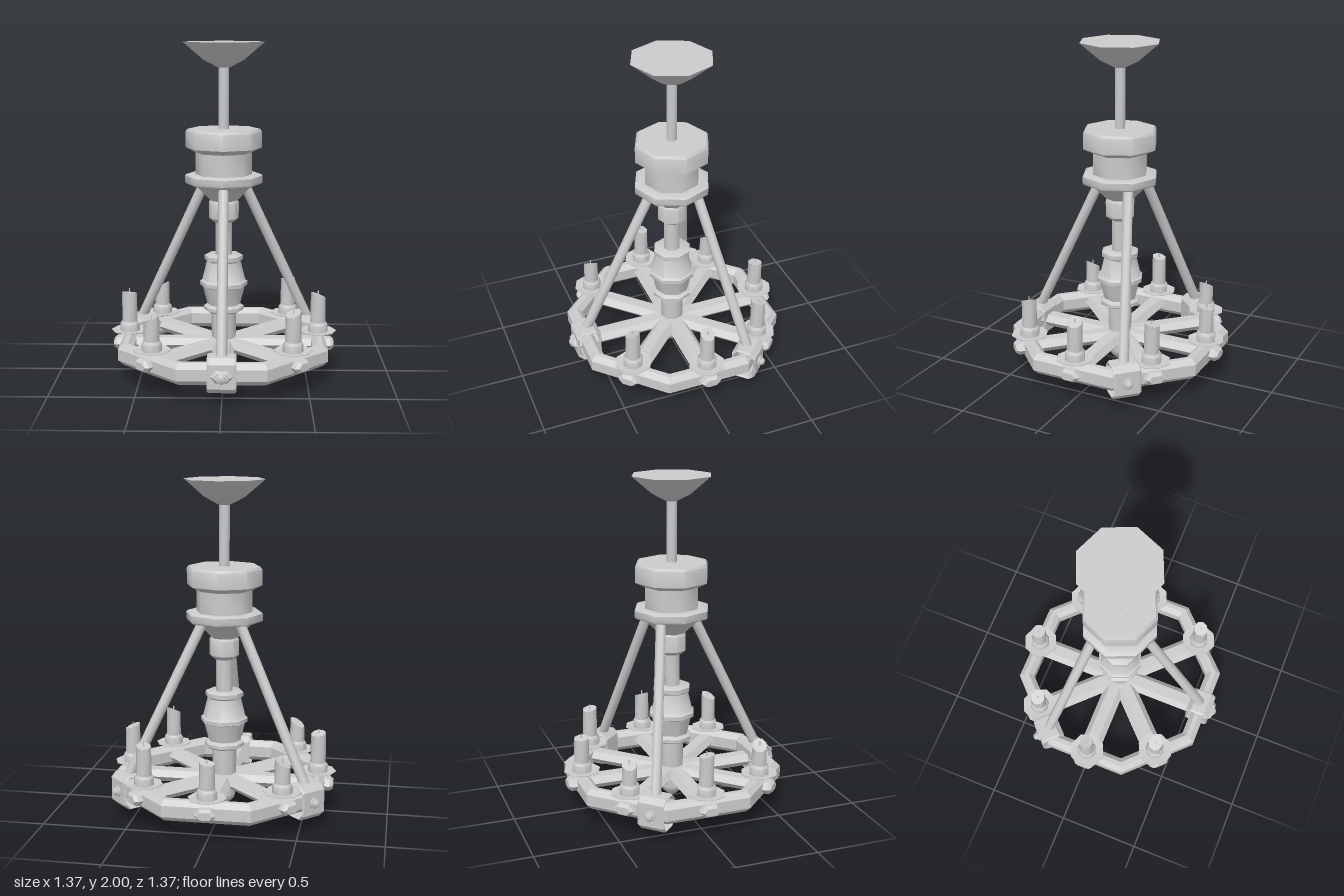
import * as THREE from 'three';
import { toCreasedNormals } from 'three/addons/utils/BufferGeometryUtils.js';

const smooth = new THREE.MeshStandardMaterial({ color: 0xcccccc });
const flat = new THREE.MeshStandardMaterial({ color: 0xcccccc, flatShading: true });

function add(parent, name, geometry, material = flat) {
  const mesh = new THREE.Mesh(geometry, material);
  mesh.name = name;
  parent.add(mesh);
  return mesh;
}

// Eight-sided turned part; profile runs from bottom to top
function turned(parent, name, profile, sides = 8) {
  const lathe = new THREE.LatheGeometry(profile.map(([r, y]) => new THREE.Vector2(r, y)), sides);
  return add(parent, name, toCreasedNormals(lathe, 0.82), smooth);
}

function shapeOf(points) {
  return new THREE.Shape(points.map(([x, y]) => new THREE.Vector2(x, y)));
}

// Rectangle with cut corners
function octagon(w, h, c) {
  return [[w, c - h], [w, h - c], [w - c, h], [c - w, h], [-w, h - c], [-w, c - h], [c - w, -h], [w - c, -h]];
}

// Round bar between two points
function bar(parent, name, from, to, radius) {
  const a = new THREE.Vector3(...from), b = new THREE.Vector3(...to);
  const dir = b.clone().sub(a);
  const geo = new THREE.CylinderGeometry(radius, radius, dir.length(), 8);
  const mesh = add(parent, name, toCreasedNormals(geo, 0.82), smooth);
  mesh.position.copy(a).add(b).multiplyScalar(0.5);
  mesh.quaternion.setFromUnitVectors(new THREE.Vector3(0, 1, 0), dir.normalize());
}

// Candle with pan, cup, slanted top and wick
function makeCandle(height, slantX, slantZ) {
  const g = new THREE.Group();
  g.name = 'candleHolder';
  turned(g, 'dripPan', [[0, 0.23], [0.05, 0.235], [0.112, 0.254], [0.112, 0.258], [0.05, 0.25], [0, 0.25]]);
  turned(g, 'candleCup', [[0.06, 0.24], [0.06, 0.295], [0.05, 0.31], [0, 0.31]]);
  const body = new THREE.CylinderGeometry(0.045, 0.047, height - 0.3, 8, 1);
  body.translate(0, (height + 0.3) / 2, 0);
  const p = body.attributes.position;
  for (let i = 0; i < p.count; i++) {
    if (p.getY(i) > 0.35) p.setY(i, p.getY(i) + slantX * p.getX(i) + slantZ * p.getZ(i));
  }
  add(g, 'candle', toCreasedNormals(body, 0.82), smooth);
  const wick = add(g, 'wick', new THREE.CylinderGeometry(0.004, 0.005, 0.03, 5));
  wick.position.y = height + 0.01;
  return g;
}

// Hollow clamp around the rim, width along local x, outward along local z
function makeClamp() {
  const g = new THREE.Group();
  g.name = 'clamp';
  const shape = shapeOf(octagon(0.076, 0.102, 0.032));
  shape.holes.push(shapeOf(octagon(0.062, 0.088, 0.027)));
  const geo = new THREE.ExtrudeGeometry(shape, {
    depth: 0.144, bevelEnabled: true, bevelSize: 0.006, bevelOffset: -0.006, bevelThickness: 0.011, bevelSegments: 1,
  });
  geo.translate(0, 0, -0.072).rotateY(Math.PI / 2);
  add(g, 'clampBand', geo);
  const bolt = turned(g, 'bolt', [[0.034, 0], [0.034, 0.014], [0.022, 0.018], [0.022, 0.03], [0.012, 0.038], [0, 0.04]]);
  bolt.rotation.x = Math.PI / 2;
  bolt.position.z = 0.072;
  return g;
}

export function createModel() {
  const model = new THREE.Group();
  model.name = 'chandelier';

  // Ceiling mount and central column
  turned(model, 'ceilingCanopy', [[0, 1.85], [0.035, 1.85], [0.12, 1.895], [0.243, 2], [0, 2]]);
  bar(model, 'hangingRod', [0, 1.45, 0], [0, 1.87, 0], 0.032);
  turned(model, 'collar', [
    [0, 1.06], [0.08, 1.06], [0.175, 1.155], [0.225, 1.163], [0.232, 1.172], [0.232, 1.212], [0.222, 1.22],
    [0.168, 1.22], [0.168, 1.35], [0.227, 1.38], [0.227, 1.475], [0.215, 1.49], [0, 1.49],
  ]);
  turned(model, 'neck', [[0, 0.93], [0.06, 0.93], [0.09, 0.955], [0.09, 1.05], [0.08, 1.065], [0, 1.065]]);
  turned(model, 'upperShaft', [[0.05, 0.7], [0.05, 0.95]]);
  turned(model, 'barrel', [
    [0, 0.38], [0.108, 0.38], [0.122, 0.39], [0.122, 0.41], [0.1, 0.425], [0.128, 0.535],
    [0.144, 0.542], [0.144, 0.565], [0.13, 0.575], [0.102, 0.69], [0.116, 0.7], [0.116, 0.725], [0.105, 0.732], [0, 0.732],
  ]);
  turned(model, 'lowerShaft', [
    [0, 0], [0.018, 0.01], [0.055, 0.045], [0.066, 0.07], [0.066, 0.13], [0.074, 0.24], [0.074, 0.4],
  ]);

  // Octagonal rim with chamfered section
  const k = 1 / Math.cos(Math.PI / 8);
  const section = octagon(0.044, 0.064, 0.03).map(([r, y]) => new THREE.Vector2((r + 0.576) * k, y + 0.174));
  section.push(section[0].clone());
  add(model, 'rim', new THREE.LatheGeometry(section, 8, Math.PI / 8));

  // Four beams crossing the wheel, forming eight spokes
  const hex = shapeOf([[0.066, 0], [0.034, 0.036], [-0.034, 0.036], [-0.066, 0], [-0.034, -0.036], [0.034, -0.036]]);
  const beam = new THREE.ExtrudeGeometry(hex, {
    depth: 1.3, bevelEnabled: true, bevelSize: 0.014, bevelOffset: -0.014, bevelThickness: 0.02, bevelSegments: 1,
  });
  beam.translate(0, 0, -0.65);
  for (let i = 0; i < 4; i++) {
    const spoke = add(model, 'spokeBeam', beam);
    spoke.position.y = 0.177;
    spoke.rotation.y = (i * Math.PI) / 4;
  }

  // Seven candles, leaving the front spoke free: height, slant in x, slant in z
  const candles = [
    [0.475, 0.35, -0.3], [0.48, -0.4, 0.1], [0.485, 0.1, 0.2], [0.46, 0.1, 0.1],
    [0.43, 0.6, 0.1], [0.49, -0.1, 0.2], [0.43, 0.6, 0.2],
  ];
  candles.forEach((c, i) => {
    const angle = ((i + 1) * Math.PI) / 4;
    const candle = makeCandle(...c);
    candle.position.set(0.575 * Math.sin(angle), 0, 0.575 * Math.cos(angle));
    model.add(candle);
  });

  // Three clamps on the rim with the legs rising to the collar
  const supports = [
    { x: 0, z: 0.575, turn: 0, topX: 0, topZ: 0.13 },
    { x: 0.53, z: -0.29, turn: (3 * Math.PI) / 4, topX: 0.115, topZ: -0.11 },
    { x: -0.53, z: -0.29, turn: (-3 * Math.PI) / 4, topX: -0.115, topZ: -0.11 },
  ];
  for (const s of supports) {
    const clamp = makeClamp();
    clamp.position.set(s.x, 0.175, s.z);
    clamp.rotation.y = s.turn;
    model.add(clamp);
    bar(model, 'supportLeg', [s.x, 0.25, s.z], [s.topX, 1.16, s.topZ], 0.031);
  }
  // Bolt on the tip of the front beam
  const tip = turned(model, 'frontBolt', [[0.03, 0], [0.03, 0.006], [0.018, 0.016], [0, 0.018]]);
  tip.rotation.x = Math.PI / 2;
  tip.position.set(0, 0.17, 0.665);

  return model;
}
